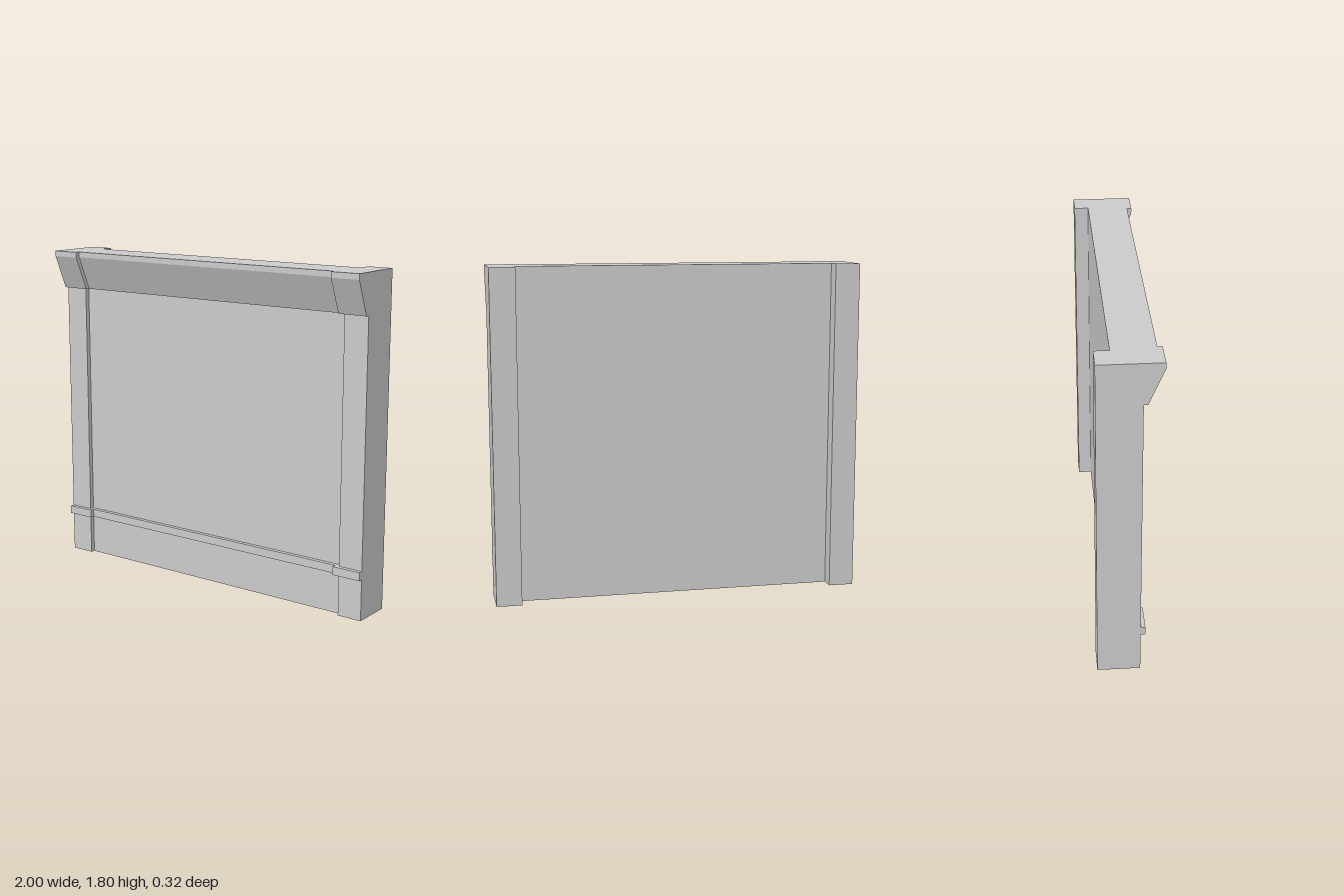
import * as THREE from 'three';

const HEIGHT = 1.8;
const material = new THREE.MeshStandardMaterial({ color: 0xcccccc, flatShading: true });

// One upright wall slice from x0 to x1: a side profile with skirting strip and sloped cornice.
// back/face are the z of the plain wall; trim shifts the mouldings in z.
function slice(name, x0, x1, back, face, trim) {
  const strip = 0.086 + trim, corniceFoot = 0.083 + trim, corniceLip = 0.161 + trim;
  const profile = new THREE.Shape([
    [back, 0], [face, 0],
    [face, 0.225], [strip, 0.225], [strip, 0.27], [face, 0.27],
    [face, 1.585], [corniceFoot, 1.585], [corniceLip, 1.77], [corniceLip, HEIGHT],
    [back, HEIGHT],
  ].map(([z, y]) => new THREE.Vector2(z, y)));
  const geometry = new THREE.ExtrudeGeometry(profile, { depth: x1 - x0, bevelEnabled: false });
  geometry.rotateY(-Math.PI / 2).translate(x1, 0, 0);
  const mesh = new THREE.Mesh(geometry, material);
  mesh.name = name;
  return mesh;
}

export function createModel() {
  const group = new THREE.Group();
  group.name = 'wallSection';

  // Recessed central panel
  group.add(slice('panel', -0.84, 0.84, -0.085, 0.037, -0.025));

  // End posts, with mouldings that overhang the inner edge of each post
  for (const [side, s] of [['left', 1], ['right', -1]]) {
    const add = (part, a, b, back, face) =>
      group.add(slice(side + part, Math.min(s * a, s * b), Math.max(s * a, s * b), back, face, 0));
    add('MouldingReturn', 0.84, 0.863, -0.085, 0.037);
    add('Post', 0.863, 1, -0.161, 0.062);
  }
  return group;
}
